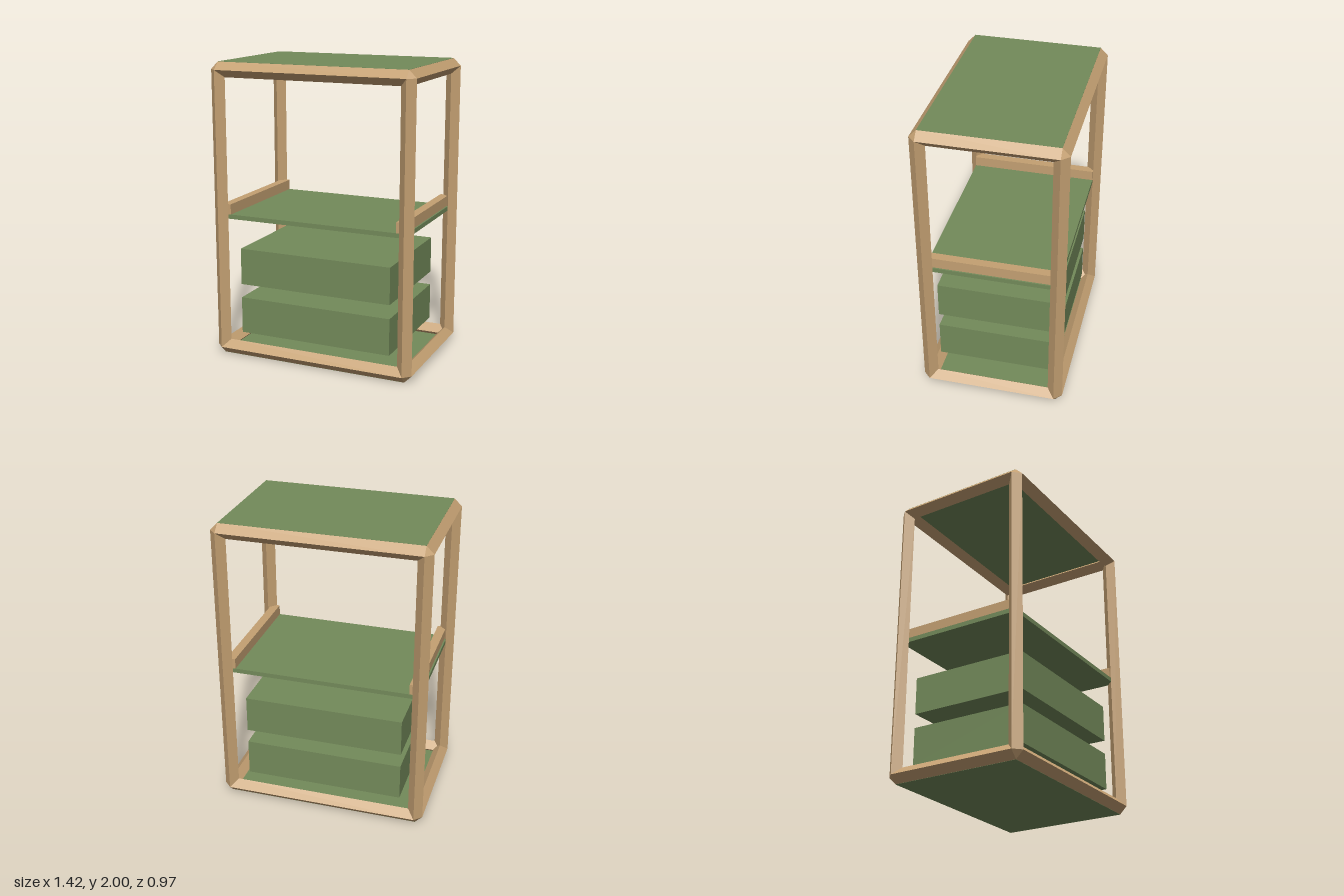
import * as THREE from 'three';

export function createModel() {
  const model = new THREE.Group();
  model.name = 'shelfUnit';

  const wood = new THREE.MeshStandardMaterial({ color: 0xc4a072, flatShading: true });
  const green = new THREE.MeshStandardMaterial({ color: 0x738a5a, flatShading: true });

  // Beam half-thickness and the centre lines of the frame
  const R = 0.05, X = 0.66, Z = 0.435, Y0 = R, Y1 = 2 - R;

  const add = (name, geometry, material, x, y, z, parent = model) => {
    const mesh = new THREE.Mesh(geometry, material);
    mesh.name = name;
    mesh.position.set(x, y, z);
    parent.add(mesh);
    return mesh;
  };
  const box = (name, w, h, d, material, x, y, z) =>
    add(name, new THREE.BoxGeometry(w, h, d), material, x, y, z);

  // Frame of diamond-section beams
  const frame = new THREE.Group();
  frame.name = 'frame';
  model.add(frame);
  const beam = (length) => new THREE.CylinderGeometry(R, R, length, 4, 1, true);

  for (const sx of [-1, 1]) {
    for (const sz of [-1, 1]) {
      add('cornerPost', beam(Y1 - Y0), wood, sx * X, 1, sz * Z, frame);
    }
  }
  for (const y of [Y0, Y1]) {
    for (const s of [-1, 1]) {
      add('longRail', beam(2 * X), wood, 0, y, s * Z, frame).rotation.z = Math.PI / 2;
      add('sideRail', beam(2 * Z), wood, s * X, y, 0, frame).rotation.x = Math.PI / 2;
      // Faceted joints closing the outer corners
      for (const t of [-1, 1]) {
        add('cornerJoint', new THREE.OctahedronGeometry(R), wood, s * X, y, t * Z, frame);
      }
    }
  }

  // Panels set flush with the top and bottom ridges
  box('topPanel', 2 * X, 0.03, 2 * Z, green, 0, 1.986, 0);
  box('bottomPanel', 2 * X, 0.03, 2 * Z, green, 0, 0.014, 0);

  // Middle shelf with a wooden rail at each end
  box('middleShelf', 2 * X, 0.03, 2 * Z, green, 0, 0.97, 0);
  for (const s of [-1, 1]) {
    box('shelfRail', 0.06, 0.07, 2 * Z, wood, s * 0.62, 1.02, 0);
  }

  // Drawers below the shelf
  for (const y of [0.275, 0.62]) {
    box('drawer', 1.08, 0.25, 0.8, green, 0, y, 0);
  }

  return model;
}
